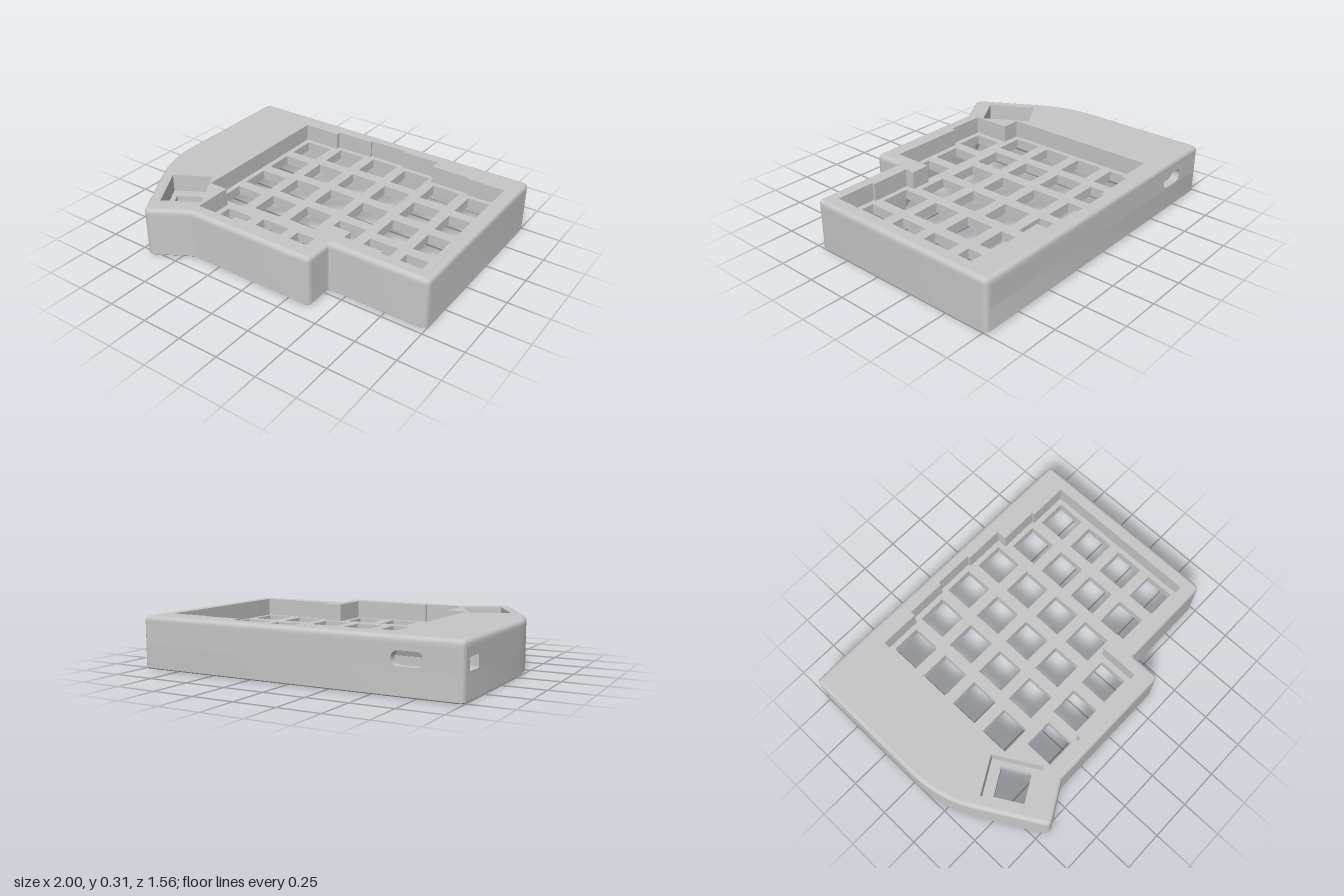
import * as THREE from 'three';
import { toCreasedNormals } from 'three/addons/utils/BufferGeometryUtils.js';

const TOP = 0.31, ROOF = 0.27, PLATE_TOP = 0.2, PLATE_BOTTOM = 0.14, SEG = 6;

// case outline corners: x, z, fillet radius
const CORNERS = [
  [-1, -0.775, 0.03], [1, -0.775, 0.03], [1, 0.465, 0.03], [0.39, 0.465, 0.012],
  [0.39, 0.655, 0.03], [-0.437, 0.655, 0.04], [-0.676, 0.793, 0.035], [-1, 0.235, 0.75],
];

// outline moved inwards by inset, with filleted corners; same point count for every inset
function outline(inset) {
  const n = CORNERS.length, pts = [];
  const dir = (a, b) => {
    const l = Math.hypot(b[0] - a[0], b[1] - a[1]);
    return [(b[0] - a[0]) / l, (b[1] - a[1]) / l];
  };
  CORNERS.forEach((p, i) => {
    const d1 = dir(CORNERS[(i + n - 1) % n], p), d2 = dir(p, CORNERS[(i + 1) % n]);
    const dot = d1[0] * d2[0] + d1[1] * d2[1];
    const side = Math.sign(d1[0] * d2[1] - d1[1] * d2[0]);
    const k = inset / (1 + dot);
    const x = p[0] - (d1[1] + d2[1]) * k, z = p[1] + (d1[0] + d2[0]) * k;
    const r = Math.max(0.002, p[2] - side * inset);
    const turn = Math.acos(dot), t = r * Math.tan(turn / 2);
    const sx = x - d1[0] * t, sz = z - d1[1] * t;
    const cx = sx - d1[1] * r * side, cz = sz + d1[0] * r * side;
    for (let s = 0; s <= SEG; s++) {
      const a = side * turn * s / SEG, c = Math.cos(a), q = Math.sin(a);
      pts.push([cx + (sx - cx) * c - (sz - cz) * q, cz + (sx - cx) * q + (sz - cz) * c]);
    }
  });
  return pts;
}

// surface through stacked rings of {pts, y}; skip(ring, edge) leaves openings
function skin(rings, closed = true, inward = false, skip = () => false) {
  const pos = [];
  for (let j = 0; j < rings.length - 1; j++) {
    const A = rings[j], B = rings[j + 1], n = A.pts.length;
    for (let i = 0; i < (closed ? n : n - 1); i++) {
      if (skip(j, i)) continue;
      const k = (i + 1) % n;
      const v = (R, m) => [R.pts[m][0], R.y, R.pts[m][1]];
      const a = v(A, i), b = v(A, k), c = v(B, k), d = v(B, i);
      pos.push(...(inward ? [a, b, c, a, c, d] : [a, c, b, a, d, c]).flat());
    }
  }
  const g = new THREE.BufferGeometry();
  g.setAttribute('position', new THREE.Float32BufferAttribute(pos, 3));
  return toCreasedNormals(g, 0.6);
}

const toPath = (pts, Type = THREE.Path) => new Type(pts.map(p => new THREE.Vector2(p[0], p[1])));

// horizontal slab with holes, from y = top down to y = bottom
function slab(pts, holes, top, bottom) {
  const s = toPath(pts, THREE.Shape);
  s.holes = holes.map(h => toPath(h));
  const g = new THREE.ExtrudeGeometry(s, { depth: top - bottom, bevelEnabled: false });
  return g.rotateX(Math.PI / 2).translate(0, top, 0);
}

function rect(cx, cz, w, h, angle = 0) {
  const c = Math.cos(angle), s = Math.sin(angle);
  return [[-1, -1], [1, -1], [1, 1], [-1, 1]].map(([u, v]) =>
    [cx + u * w / 2 * c - v * h / 2 * s, cz + u * w / 2 * s + v * h / 2 * c]);
}

// upright wall panel with one rounded slot
function panel(u0, u1, cu, cy, w, h, r) {
  const s = toPath([[u0, PLATE_BOTTOM], [u1, PLATE_BOTTOM], [u1, ROOF], [u0, ROOF]], THREE.Shape);
  const hole = new THREE.Path(), a = w / 2 - r, b = h / 2 - r;
  [[1, 1], [-1, 1], [-1, -1], [1, -1]].forEach(([i, j], q) =>
    hole.absarc(cu + i * a, cy + j * b, r, q * Math.PI / 2, (q + 1) * Math.PI / 2));
  s.holes.push(hole);
  return new THREE.ExtrudeGeometry(s, { depth: 0.055, bevelEnabled: false, curveSegments: 6 });
}

export function createModel() {
  const group = new THREE.Group();
  const grey = new THREE.MeshStandardMaterial({ color: 0xc6c6c6, side: THREE.DoubleSide });
  grey.name = 'matte grey';
  const add = (name, geometry) => {
    const m = new THREE.Mesh(geometry, grey);
    m.name = name;
    group.add(m);
    return m;
  };

  // key openings: six staggered columns, three thumb keys and one turned thumb key
  const PITCH = 0.2475, KEY = 0.18, TILT = -Math.PI / 6;
  const keys = [];
  [-0.534, -0.562, -0.579, -0.562, -0.499, -0.482].forEach((z, c) => {
    for (let r = 0; r < 4; r++) keys.push(rect(-0.441 + c * PITCH, z + r * PITCH, KEY, KEY));
  });
  [[-0.318, 0.451], [-0.071, 0.426], [0.177, 0.426]].forEach(([x, z]) => keys.push(rect(x, z, KEY, KEY)));
  keys.push(rect(-0.641, 0.466, KEY, KEY, TILT));

  // recesses above the key plate
  const mainRecess = [
    [-0.565, -0.655], [-0.32, -0.655], [-0.32, -0.685], [-0.07, -0.685], [-0.07, -0.702],
    [0.177, -0.702], [0.177, -0.685], [0.424, -0.685], [0.424, -0.621], [0.67, -0.621],
    [0.67, -0.605], [0.917, -0.605], [0.917, 0.384], [0.67, 0.384], [0.67, 0.366],
    [0.424, 0.366], [0.424, 0.306], [0.302, 0.306], [0.302, 0.549], [-0.195, 0.549],
    [-0.195, 0.576], [-0.443, 0.576], [-0.443, 0.336], [-0.565, 0.336],
  ];
  const thumbRecess = rect(-0.641, 0.466, 0.244, 0.307, TILT);
  for (const [name, pts] of [['mainRecessWall', mainRecess], ['thumbRecessWall', thumbRecess]])
    add(name, skin([{ pts, y: PLATE_TOP }, { pts, y: ROOF }], true, true));

  // shell: inner wall, stepped lip, outer wall and rounded top edge
  const R = 0.025;
  const profile = [[0.05, PLATE_BOTTOM], [0.05, 0.03], [0.028, 0.03], [0.028, 0], [0.006, 0],
    [0, 0.006], [0, PLATE_BOTTOM], [0, ROOF]];
  for (let k = 0; k <= 4; k++) {
    const a = k * Math.PI / 8;
    profile.push([R * (1 - Math.cos(a)), TOP - R + R * Math.sin(a)]);
  }
  const outer = outline(0), last = outer.length - 1;
  add('shell', skin(profile.map(([i, y]) => ({ pts: outline(i), y })), true, false,
    (j, i) => j === 6 && (i === SEG || i === last)));

  // upright panels with the cable port and the switch slot
  const backPanel = panel(outer[SEG][0], outer[SEG + 1][0], -0.7, 0.195, 0.18, 0.08, 0.039);
  add('backPanelWithPort', backPanel.translate(0, 0, -0.775));
  const sidePanel = panel(outer[0][1], outer[last][1], -0.645, 0.185, 0.12, 0.07, 0.004);
  add('sidePanelWithSlot', sidePanel.rotateY(-Math.PI / 2).translate(-0.945, 0, 0));

  // top cover and key plate with the electronics bay cut out
  add('topCover', slab(outline(R), [mainRecess, thumbRecess], TOP, ROOF));
  const bay = [[-0.945, 0.02], [-0.932, 0.14], [-0.885, 0.29], [-0.7, 0.29], [-0.6, 0.25], [-0.6, -0.72]];
  add('keyPlate', slab(outline(0.05), [...keys, [...bay, [-0.945, -0.72]]], PLATE_TOP, PLATE_BOTTOM));
  add('bayWall', skin([{ pts: bay, y: PLATE_BOTTOM }, { pts: bay, y: ROOF }], false));

  // block hanging down from the bay
  add('bayBlock', new THREE.BoxGeometry(0.26, 0.2, 0.57)).position.set(-0.74, 0.17, -0.025);

  // screw bosses under the plate
  for (const [x, z] of [[0.67, -0.375], [0.67, 0.125], [-0.318, -0.42], [-0.318, 0.085], [-0.57, 0.3]])
    add('screwBoss', new THREE.CylinderGeometry(0.018, 0.018, 0.02, 16)).position.set(x, PLATE_BOTTOM, z);

  return group;
}
